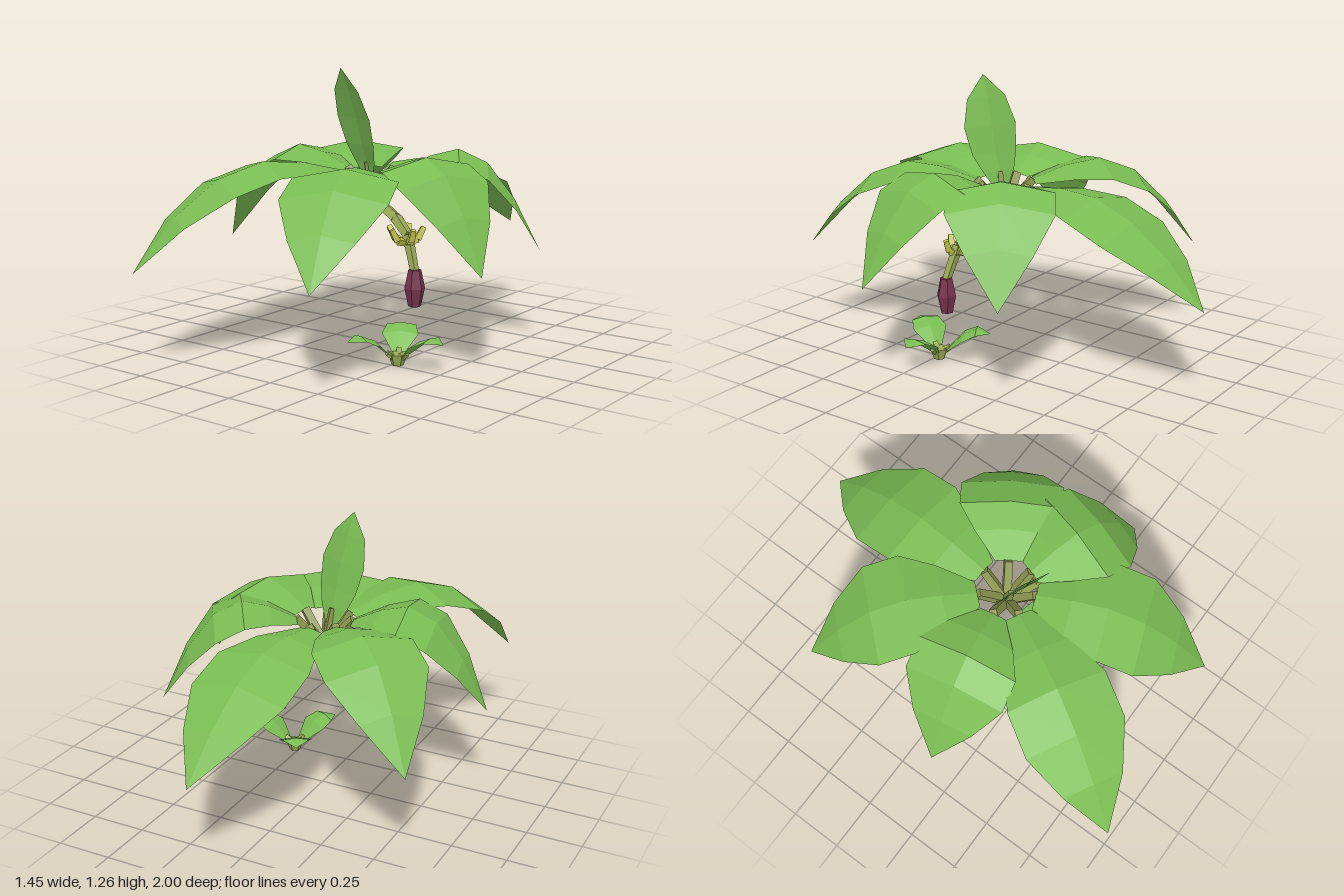
import * as THREE from 'three';

const V = (x, y, z) => new THREE.Vector3(x, y, z);
const mat = (name, color, side = THREE.FrontSide) =>
  new THREE.MeshStandardMaterial({ name, color, side, flatShading: true });

export function createModel() {
  const model = new THREE.Group();
  const leafGreen = mat('leaf green', 0x7abc53, THREE.DoubleSide);
  const stalkOlive = mat('stalk olive', 0x8c9650);
  const stemGreen = mat('stem green', 0x9cab57);
  const fruitYellow = mat('fruit yellow', 0xc0c04c);
  const flowerPurple = mat('flower purple', 0x78344f);

  const add = (geometry, material, name, parent = model) => {
    const mesh = new THREE.Mesh(geometry, material);
    mesh.name = name;
    parent.add(mesh);
    return mesh;
  };

  // Folded leaf blade: midrib points, half widths, and edges lowered along fold
  const leaf = (name, rib, side, halfWidths, fold, parent = model) => {
    const pos = [];
    const rows = rib.map((p, i) => {
      const w = halfWidths[i];
      const f = fold.clone().multiplyScalar(w);
      return [
        p.clone().addScaledVector(side, -w).add(f),
        p,
        p.clone().addScaledVector(side, w).add(f),
      ];
    });
    const tri = (...c) => c.forEach((v) => pos.push(v.x, v.y, v.z));
    for (let i = 0; i < rows.length - 1; i++) {
      for (let j = 0; j < 2; j++) {
        const a = rows[i][j], b = rows[i][j + 1], c = rows[i + 1][j + 1], d = rows[i + 1][j];
        if (halfWidths[i + 1] > 0) {
          tri(a, b, c);
          tri(a, c, d);
        } else tri(a, b, rib[i + 1]);
      }
    }
    const g = new THREE.BufferGeometry();
    g.setAttribute('position', new THREE.Float32BufferAttribute(pos, 3));
    g.computeVertexNormals();
    add(g, leafGreen, name, parent);
  };

  // Tapered rod between two points
  const rod = (name, a, b, r0, r1, material, sides = 4, parent = model) => {
    const d = b.clone().sub(a);
    const mesh = add(new THREE.CylinderGeometry(r1, r0, d.length(), sides), material, name, parent);
    mesh.position.copy(a).addScaledVector(d, 0.5);
    mesh.quaternion.setFromUnitVectors(V(0, 1, 0), d.normalize());
  };

  // Crown of drooping leaves: tip x, y, z and arch (0 flat, 1 high)
  const crown = new THREE.Group();
  crown.name = 'crown';
  model.add(crown);
  const heart = V(0.01, 0.66, 0.05);
  const along = [0, 0.2, 0.4, 0.61, 0.81, 1];
  const widths = [0.06, 0.155, 0.228, 0.23, 0.14, 0];
  const flat = [0.8, 0.825, 0.815, 0.74, 0.61];
  const high = [0.81, 0.87, 0.9, 0.84, 0.68];
  const tips = [
    [0.09, 0.43, -1.0, 0],
    [0.625, 0.45, -0.355, 1],
    [0.72, 0.45, 0.28, 1],
    [0.35, 0.45, 0.92, 0.65],
    [-0.53, 0.43, 1.0, 0.65],
    [-0.725, 0.45, 0.18, 1],
    [-0.66, 0.45, -0.56, 0.85],
  ];
  tips.forEach(([x, y, z, arch]) => {
    const dir = V(x - heart.x, 0, z - heart.z);
    const length = dir.length();
    dir.normalize();
    const rib = along.map((t, i) => {
      const p = heart.clone().addScaledVector(dir, 0.13 + t * (length - 0.13));
      p.y = i < 5 ? THREE.MathUtils.lerp(flat[i], high[i], arch) : y;
      return p;
    });
    leaf('crownLeaf', rib, V(dir.z, 0, -dir.x), widths, V(0, -0.2, 0), crown);
    rod('leafStalk', heart, rib[0], 0.028, 0.024, stalkOlive, 4, crown);
  });

  // Young upright leaf
  const young = [
    V(0, 0.76, 0.07), V(-0.005, 0.84, 0.085), V(-0.01, 0.92, 0.11),
    V(-0.02, 1.04, 0.14), V(-0.036, 1.16, 0.175), V(-0.05, 1.26, 0.21),
  ];
  leaf('youngLeaf', young, V(0.93, 0, 0.37), [0.03, 0.08, 0.115, 0.135, 0.1, 0], V(-0.04, 0, 0.1));
  rod('youngLeafStalk', heart, young[1], 0.026, 0.015, stalkOlive);

  // Hanging fruit stem
  const stem = [V(0.01, 0.675, 0.045), V(0.16, 0.61, 0.09), V(0.25, 0.55, 0.13), V(0.305, 0.4, 0.155)];
  for (let i = 0; i < 3; i++) {
    rod('fruitStem', stem[i], stem[i + 1], 0.03 - i * 0.003, 0.027 - i * 0.004, stemGreen);
  }

  // Ring of small bent fruits
  const hub = V(0.25, 0.515, 0.13);
  for (let i = 0; i < 5; i++) {
    const a = (i / 5) * Math.PI * 2 + 0.5;
    const out = V(Math.cos(a), 0, Math.sin(a));
    const knee = hub.clone().addScaledVector(out, 0.05).add(V(-0.01, 0.015, 0));
    const end = hub.clone().addScaledVector(out, 0.08).add(V(-0.02, 0.065, -0.01));
    rod('fruit', hub, knee, 0.016, 0.02, fruitYellow);
    rod('fruitEnd', knee, end, 0.02, 0.015, fruitYellow);
  }

  // Flower bud below the fruit
  const bud = add(new THREE.LatheGeometry(
    [[0, -0.08], [0.028, -0.08], [0.045, 0], [0.028, 0.08], [0, 0.08]].map(([x, y]) => new THREE.Vector2(x, y)), 6,
  ), flowerPurple, 'flowerBud');
  bud.position.set(0.305, 0.33, 0.155);
  bud.rotation.y = Math.PI / 12;

  // Ground sprout with three leaves
  const sprout = new THREE.Group();
  sprout.name = 'sprout';
  sprout.position.set(0.27, 0, 0.23);
  model.add(sprout);
  rod('sproutStem', V(0, 0, 0), V(0, 0.05, 0), 0.026, 0.042, stemGreen, 6, sprout);
  for (let i = 0; i < 3; i++) {
    const a = (i / 3) * Math.PI * 2;
    const out = V(Math.cos(a), 0, Math.sin(a));
    const rib = [[0.035, 0.045], [0.11, 0.12], [0.17, 0.145], [0.235, 0.125]]
      .map(([r, y]) => out.clone().multiplyScalar(r).setY(y));
    leaf('sproutLeaf', rib, V(out.z, 0, -out.x), [0.025, 0.08, 0.065, 0], V(0, -0.15, 0), sprout);
    rod('sproutStalk', V(0, 0.025, 0), out.clone().multiplyScalar(0.05).setY(0.058), 0.02, 0.014, stemGreen, 4, sprout);
  }
  return model;
}
